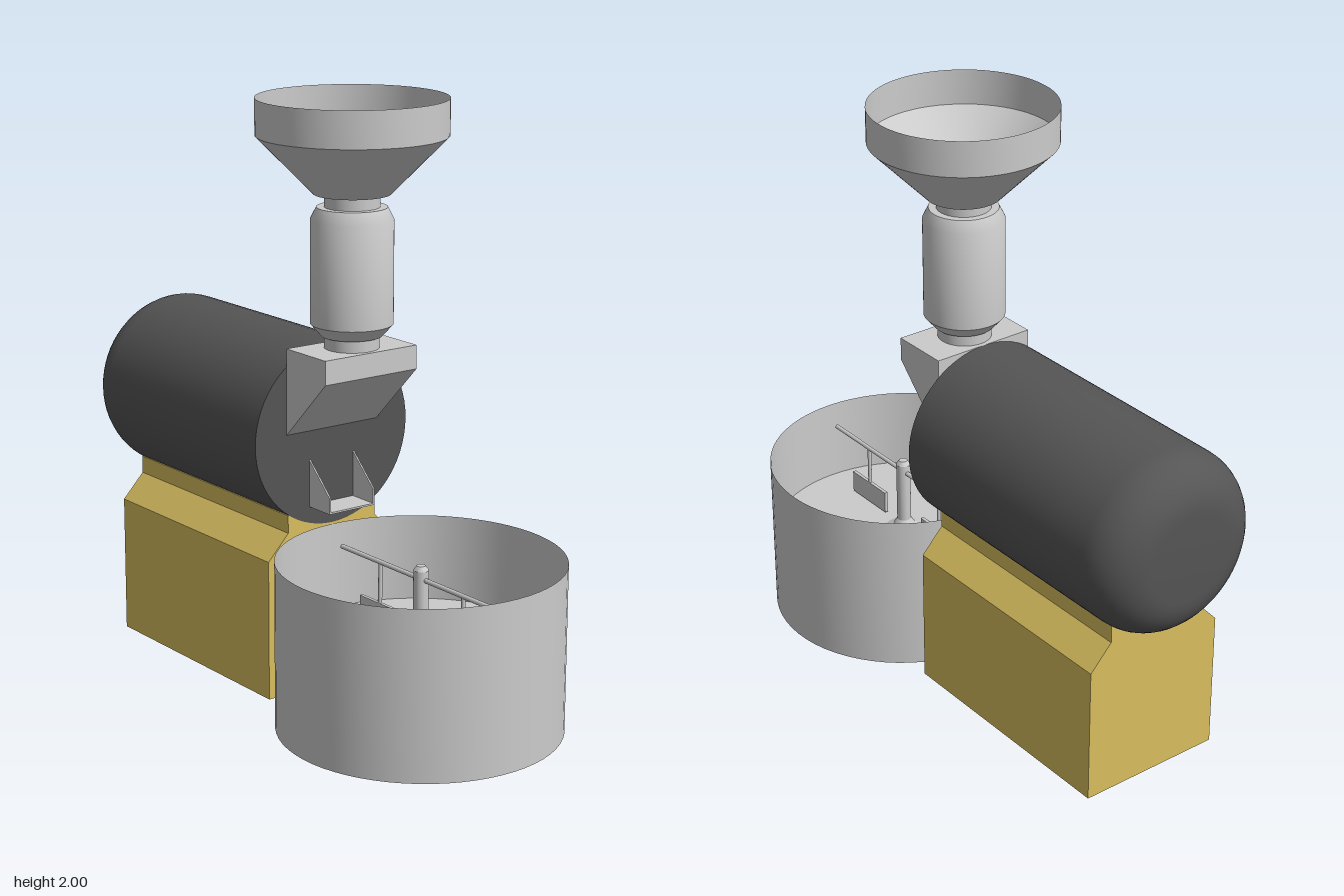
import * as THREE from 'three';
import { toCreasedNormals } from 'three/addons/utils/BufferGeometryUtils.js';

const grey = new THREE.MeshStandardMaterial({ color: 0xcccccc });
const thinGrey = new THREE.MeshStandardMaterial({ color: 0xcccccc, side: THREE.DoubleSide });
const dark = new THREE.MeshStandardMaterial({ color: 0x555555 });
const yellow = new THREE.MeshStandardMaterial({ color: 0xd9bf60 });

function part(parent, name, geometry, material, x = 0, y = 0, z = 0) {
  const mesh = new THREE.Mesh(geometry, material);
  mesh.name = name;
  mesh.position.set(x, y, z);
  parent.add(mesh);
  return mesh;
}

// Turned part from [radius, height] pairs, listed bottom to top
function turned(points, segments = 64) {
  const profile = points.map(([r, y]) => new THREE.Vector2(r, y));
  return toCreasedNormals(new THREE.LatheGeometry(profile, segments), 0.5);
}

const shapeOf = (points) => new THREE.Shape(points.map(([a, b]) => new THREE.Vector2(a, b)));

// Side profile of [z, y] pairs, extruded across x and centred on x = 0
function sideExtrude(points, width) {
  const shape = shapeOf(points.map(([z, y]) => [-z, y]));
  const geometry = new THREE.ExtrudeGeometry(shape, { depth: width, bevelEnabled: false });
  return geometry.translate(0, 0, -width / 2).rotateY(Math.PI / 2);
}

export function createModel() {
  const model = new THREE.Group();
  model.name = 'roaster';

  // Base: box with sloped shoulders and a narrow neck under the drum
  const half = [[0.26, 0], [0.26, 0.48], [0.18, 0.565], [0.18, 0.625]];
  const mirrored = half.map(([x, y]) => [-x, y]).reverse();
  const base = new THREE.ExtrudeGeometry(shapeOf([...half, ...mirrored]), { depth: 0.885, bevelEnabled: false });
  part(model, 'base', base, yellow, 0, 0, -0.835);

  // Roasting drum: flat front, rounded back
  const drum = [[0, -0.05], [0.31, -0.05]];
  for (let i = 0; i <= 10; i++) {
    const a = (i / 10) * Math.PI / 2;
    drum.push([0.155 + 0.155 * Math.cos(a), 0.835 + 0.155 * Math.sin(a)]);
  }
  drum.push([0, 0.99]);
  part(model, 'drum', turned(drum).rotateX(-Math.PI / 2), dark, 0, 0.88, 0);

  // Feed chute on the drum front
  part(model, 'feedChute', sideExtrude([[0.05, 0.9], [0.26, 1.11], [0.26, 1.19], [0.05, 1.19]], 0.37), grey);

  // Feed pipe and hopper
  const feed = new THREE.Group();
  feed.name = 'feed';
  feed.position.z = 0.155;
  model.add(feed);
  part(feed, 'feedPipe', turned([
    [0.09, 1.19], [0.09, 1.23], [0.1, 1.23], [0.135, 1.27], [0.135, 1.61],
    [0.115, 1.65], [0.09, 1.65], [0.09, 1.695], [0, 1.695],
  ]), grey);
  part(feed, 'hopper', turned([[0.09, 1.692], [0.125, 1.692], [0.31, 1.88], [0.31, 2]]), thinGrey);

  // Discharge spout: open tray with two sloped walls
  const spout = new THREE.Group();
  spout.name = 'dischargeSpout';
  model.add(spout);
  part(spout, 'spoutFloor', new THREE.BoxGeometry(0.18, 0.006, 0.11), grey, 0, 0.643, 0.105);
  for (const side of [-1, 1]) {
    const wall = sideExtrude([[0.05, 0.64], [0.16, 0.64], [0.16, 0.695], [0.05, 0.8]], 0.006);
    part(spout, 'spoutWall', wall, grey, side * 0.09);
  }

  // Cooling bin with a raised floor
  const bin = new THREE.Group();
  bin.name = 'coolingBin';
  bin.position.z = 0.522;
  model.add(bin);
  part(bin, 'binWall', turned([[0, 0], [0.468, 0], [0.468, 0.565]]), thinGrey);
  part(bin, 'binFloor', new THREE.CircleGeometry(0.468, 64).rotateX(-Math.PI / 2), thinGrey, 0, 0.27, 0);

  // Stirrer: flared post, cross rod and hanging paddles
  part(bin, 'stirrerPost', turned([
    [0.07, 0.27], [0.04, 0.285], [0.025, 0.31], [0.025, 0.53], [0.015, 0.545], [0, 0.545],
  ], 24), grey);
  const rod = new THREE.CylinderGeometry(0.008, 0.008, 0.83, 12).rotateX(Math.PI / 2);
  part(bin, 'stirrerRod', rod, grey, 0, 0.5, 0);
  for (const end of [-1, 1]) {
    part(bin, 'paddleStem', new THREE.CylinderGeometry(0.007, 0.007, 0.16, 10), grey, 0, 0.42, end * 0.21);
    part(bin, 'paddle', new THREE.BoxGeometry(0.012, 0.08, 0.2), grey, 0, 0.32, end * 0.21);
  }

  return model;
}
